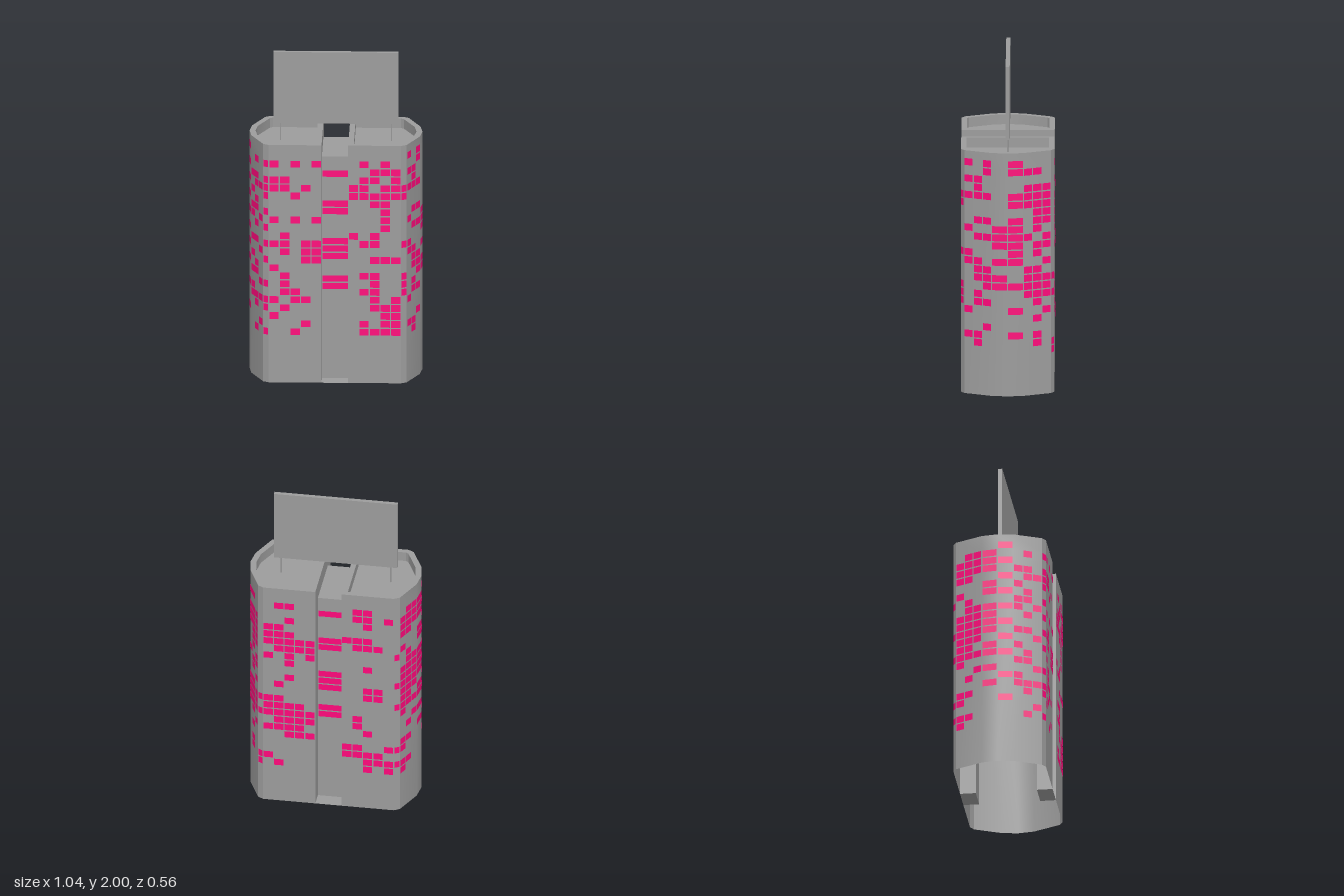
import * as THREE from 'three';
import { mergeGeometries, toCreasedNormals } from 'three/addons/utils/BufferGeometryUtils.js';

const ROOF = 1.5, CORE_TOP = 1.4, DECK = 1.44;
const grey = new THREE.MeshStandardMaterial({ color: 0x9c9c9c, side: THREE.DoubleSide });
const pink = new THREE.MeshStandardMaterial({ color: 0xff087c });

// Half-tower plan as [x, z], from the front notch round to the back notch
const plan = [[0.08, 0.28], [0.397, 0.28], [0.431, 0.26], [0.506, 0.095], [0.519, 0],
  [0.506, -0.095], [0.431, -0.26], [0.397, -0.28], [0.08, -0.28]];
const innerPlan = [[0.113, 0.247], [0.385, 0.247], [0.402, 0.236], [0.471, 0.087], [0.483, 0],
  [0.471, -0.087], [0.402, -0.236], [0.385, -0.247], [0.113, -0.247]];
const columns = [5, 1, 3, 1, 1, 3, 1, 5]; // windows across each wall of the plan

// Lit windows, top floor first: flat wall, chamfer, curved side, chamfer, flat wall
const litLeft = [
  '..... . #.# . # ... . .....',
  '.#.#. . ..# . # ##. . .##..',
  '..### . ##. . . ... . .....',
  '.##.# . .#. . . ### . ..#..',
  '##.## # ### . # ### . ##...',
  '##### # ... . # ### . ###..',
  '..##. . ... . . .## . #####',
  '...#. . .## . # .## . .####',
  '...#. . #.. # # .#. . #.#.#',
  '...#. . .## # # #.# . ..#..',
  '#.#.. . ... # # .## . .....',
  '.##.. # #.. . # .#. . ..#..',
  '..... . ##. # # ..# . .#...',
  '..### . .## . . ##. . .....',
  '..... . .## # . ### # ##...',
  '.##.. # ..# # # ### . ####.',
  '..#.. # .#. . . ### # #####',
  '.##.. # .## . . .#. . .####',
  '..#.# . #.. . # ..# . ####.',
  '..### . ... . . .#. . ..###',
  '...## . ..# . . ... . .....',
  '.#.## . ##. . # .#. . .....',
  '.#### . .#. . . .#. # #....',
  '..... . ... . . ... # .#...',
];
const litRight = [
  '..... . ... . # ... . .....',
  '.##.. . .## # . .#. # #.#.#',
  '.##.# . ### # # ... . .....',
  '..#.. . ### # . ##. # ##...',
  '..... . ##. . # .## # ##.#.',
  '###.. . ... # . #.. # ..#..',
  '.###. . #.. # # .#. . .....',
  '..... # .#. . . ##. # .....',
  '..... . .## # # #.# . #.#.#',
  '..#.. . ### # . .#. # .....',
  '..... . ### # # ... . .#...',
  '..... # ### # . ##. # ##.##',
  '..##. . ### . # ..# . .#.##',
  '..##. . ##. # . #.. # ...##',
  '..... # ### # # .#. . #....',
  '..... . #.. . . ##. . .#...',
  '.#... . ..# # . ..# # .#...',
  '.#... . .#. . # #.. . .##..',
  '..#.. . ... # . ### # #.##.',
  '..... . ##. . . .#. # .#...',
  '##..# # #.. . # ... . #....',
  '####. . ... . . ..# . ...#.',
  '..### # ##. . . .#. # ..#..',
  '..#.# . #.. . . ... . .....',
];
const litCore = [...'#...##...###..##'];

function mesh(name, geometry, material = grey) {
  const m = new THREE.Mesh(geometry, material);
  m.name = name;
  return m;
}

// Upright wall following a plan line
function wall(points, y0, y1) {
  const g = new THREE.BufferGeometry(), pos = [], index = [];
  points.forEach(([x, z], i) => {
    pos.push(x, y0, z, x, y1, z);
    const a = 2 * i;
    if (i < points.length - 1) index.push(a, a + 2, a + 3, a, a + 3, a + 1);
  });
  g.setAttribute('position', new THREE.Float32BufferAttribute(pos, 3));
  g.setIndex(index);
  return toCreasedNormals(g.toNonIndexed(), 0.45);
}

// Flat panes just proud of the wall on every lit cell of a plan line
function windows(points, cols, rows, top, pitch) {
  const panes = [];
  rows.forEach((row, r) => {
    let c = 0;
    cols.forEach((n, s) => {
      const [x0, z0] = points[s], [x1, z1] = points[s + 1];
      const dx = x1 - x0, dz = z1 - z0;
      for (let i = 0; i < n; i++) {
        if (row[c++] !== '#') continue;
        const t = (i + 0.5) / n;
        panes.push(new THREE.PlaneGeometry(Math.hypot(dx, dz) / n - 0.007, pitch - 0.008)
          .translate(0, 0, 0.002)
          .rotateY(Math.atan2(-dz, dx))
          .translate(x0 + dx * t, top - r * pitch, z0 + dz * t));
      }
    });
  });
  return mergeGeometries(panes);
}

const toShape = (points) => new THREE.Shape(points.map(([x, z]) => new THREE.Vector2(x, z)));

function halfTower(name, lit) {
  const g = new THREE.Group();
  g.name = name;
  g.add(mesh('towerWall', wall([[0.08, 0.185], ...plan, [0.08, -0.185]], 0, CORE_TOP)));

  // Parapet ring and sunken roof deck
  const ring = toShape(plan);
  ring.holes.push(toShape(innerPlan));
  const parapet = new THREE.ExtrudeGeometry(ring, { depth: ROOF - CORE_TOP, bevelEnabled: false });
  parapet.rotateX(-Math.PI / 2).translate(0, CORE_TOP, 0);
  g.add(mesh('parapet', toCreasedNormals(parapet, 0.45)));
  const deck = new THREE.ShapeGeometry(toShape(innerPlan)).rotateX(-Math.PI / 2).translate(0, DECK, 0);
  g.add(mesh('roofDeck', deck));

  const rows = lit.map((row) => row.replace(/ /g, ''));
  g.add(mesh('towerWindows', windows(plan, columns, rows, 1.431, 0.0504), pink));

  // Signboard post
  const post = new THREE.CylinderGeometry(0.004, 0.004, 0.12, 8).translate(0.333, DECK + 0.06, 0);
  g.add(mesh('signPost', post));
  return g;
}

// Core face with its windows and the floor at the foot of the notch
function coreFace(name) {
  const g = new THREE.Group();
  g.name = name;
  const line = [[-0.08, 0.185], [0.08, 0.185]];
  g.add(mesh('coreWall', wall(line, 0, CORE_TOP)));
  g.add(mesh('coreWindows', windows(line, [1], litCore, 1.291, 0.0473), pink));
  g.add(mesh('notchFloor', new THREE.PlaneGeometry(0.16, 0.095).rotateX(-Math.PI / 2).translate(0, 0, 0.2325)));
  return g;
}

export function createModel() {
  const model = new THREE.Group();
  model.name = 'towerBlock';
  const left = halfTower('leftTower', litLeft), right = halfTower('rightTower', litRight);
  const front = coreFace('frontCore'), back = coreFace('backCore');
  right.rotation.y = back.rotation.y = Math.PI;
  model.add(left, right, front, back);

  model.add(mesh('coreRoof', new THREE.PlaneGeometry(0.16, 0.37).rotateX(-Math.PI / 2).translate(0, CORE_TOP, 0)));
  model.add(mesh('signboard', new THREE.BoxGeometry(0.752, 0.45, 0.025).translate(0, 1.775, 0)));
  return model;
}
